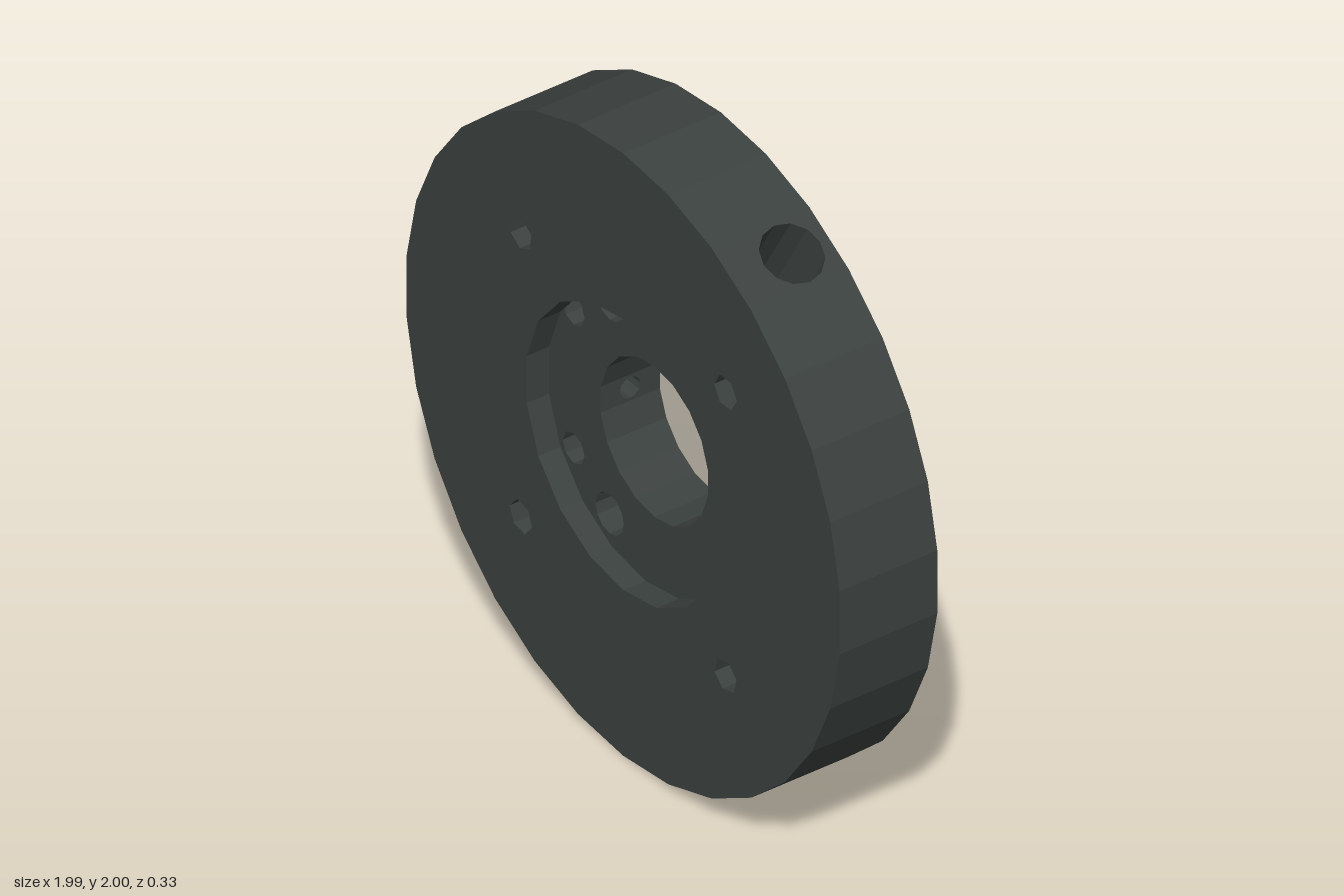
import * as THREE from 'three';
import { mergeGeometries } from 'three/addons/utils/BufferGeometryUtils.js';

const RAD = Math.PI / 180;
const BACK = -0.165, FRONT = 0.165;      // ring faces
const HUB_BACK = -0.14, HUB_FRONT = 0.06; // hub faces
const LIP = 0.09;                         // rear of the ring's front lip
const HOLE_Z = -0.04;                     // level of the radial holes

const polar = (r, deg, z = 0) => new THREE.Vector3(r * Math.cos(deg * RAD), r * Math.sin(deg * RAD), z);

// Polygon with one side facing 60 degrees, so the radial holes land on flat sides
function polygon(r, n, z = 0) {
  return Array.from({ length: n }, (_, i) => polar(r, 60 + (i - 0.5) * 360 / n, z));
}

function circle(x, y, r, n = 12, turn = 0) {
  return Array.from({ length: n }, (_, i) => polar(r, turn + i * 360 / n).add(new THREE.Vector3(x, y, 0)));
}

// Flat face with holes, facing front or back
function face(outline, holes, z, toBack = false) {
  const flat = pts => pts.map(p => new THREE.Vector2(p.x, p.y));
  const shape = new THREE.Shape(flat(outline));
  shape.holes = holes.map(h => new THREE.Path(flat(h)));
  const g = new THREE.ShapeGeometry(shape).translate(0, 0, z);
  if (toBack) {
    g.index.array.reverse();
    g.computeVertexNormals();
  }
  return g;
}

// Wall of flat panels from each point's own z up to zTop; three sides may carry a round hole
function wall(points, zTop, { inward = false, holeR = 0 } = {}) {
  const pts = inward ? [...points].reverse() : points;
  return pts.map((p, i) => {
    const q = pts[(i + 1) % pts.length];
    const u = new THREE.Vector3(q.x - p.x, q.y - p.y, 0);
    const len = u.length();
    u.normalize();
    const shape = new THREE.Shape([
      new THREE.Vector2(0, p.z), new THREE.Vector2(len, q.z),
      new THREE.Vector2(len, zTop), new THREE.Vector2(0, zTop)]);
    const angle = Math.atan2(p.y + q.y, p.x + q.x);
    if (holeR && Math.cos(3 * angle) < -0.999) {
      shape.holes.push(new THREE.Path(circle(len / 2, HOLE_Z, holeR, 12).map(c => new THREE.Vector2(c.x, c.y))));
    }
    const up = new THREE.Vector3(0, 0, 1);
    const m = new THREE.Matrix4().makeBasis(u, up, u.clone().cross(up)).setPosition(p.x, p.y, 0);
    return new THREE.ShapeGeometry(shape).applyMatrix4(m);
  });
}

// Three round passages between two radii
function radialTubes(r, from, to) {
  return [60, 180, 300].map(a =>
    new THREE.CylinderGeometry(r, r, to - from, 12, 1, true)
      .translate(0, (from + to) / 2, 0)
      .rotateZ((a - 90) * RAD)
      .translate(0, 0, HOLE_Z));
}

function triangle(a, b, c) {
  const g = new THREE.BufferGeometry().setFromPoints([a, b, c]);
  g.setAttribute('uv', new THREE.Float32BufferAttribute([0, 0, 1, 0, 0, 1], 2));
  g.setIndex([0, 1, 2]);
  g.computeVertexNormals();
  return g;
}

export function createModel() {
  const group = new THREE.Group();
  const material = new THREE.MeshStandardMaterial({ color: 0x3c4240, flatShading: true, side: THREE.DoubleSide });
  const add = (name, parts) => {
    const mesh = new THREE.Mesh(mergeGeometries(parts), material);
    mesh.name = name;
    mesh.position.y = 1;
    group.add(mesh);
  };

  // Rear pocket outline: round, with a squared recess behind each bolt hole
  const pocket = [];
  const valley = polar(0.6, 10, -0.05);
  for (let a = -10; a < 350; a += 20) {
    pocket.push(a === 10 ? valley : polar(0.6, a, BACK));
    for (const bolt of [45, 135, 225, 315]) {
      if (bolt > a && bolt < a + 20) {
        pocket.push(polar(0.74, bolt - 5.5, BACK), polar(0.74, bolt + 5.5, BACK));
      }
    }
  }
  // The tapered notch runs from the pocket out to the rim
  const apex = polar(0.985, 0, BACK);
  const rearOutline = pocket.map(p => (p === valley ? apex : p));

  const rim = polygon(1, 30, BACK);
  const opening = polygon(0.45, 18, LIP);
  const bolts = [[1, 1], [-1, 1], [-1, -1], [1, -1]].map(([x, y], i) =>
    circle(0.47 * x, 0.47 * y, 0.052, 6, i * 25));

  add('outerRing', [
    face(rim, [opening, ...bolts], FRONT),
    face(rim, [rearOutline], BACK, true),
    face(pocket, [opening, ...bolts], LIP, true),
    ...wall(rim, FRONT, { holeR: 0.095 }),
    ...wall(pocket, LIP, { inward: true, holeR: 0.095 }),
    ...wall(opening, FRONT, { inward: true }),
  ]);
  add('boltHoles', bolts.flatMap(b => wall(b.map(p => p.setZ(LIP)), FRONT, { inward: true })));
  add('accessHoles', radialTubes(0.095, 0.591, 0.994));
  add('rearNotch', [
    triangle(polar(0.6, -10, BACK), valley, apex),
    triangle(valley, polar(0.6, 30, BACK), apex),
  ]);

  // Hub disc with its bore, three large holes and four small ones
  const hubEdge = polygon(0.55, 30, HUB_BACK);
  const bore = polygon(0.25, 18, HUB_BACK);
  const hubHoles = [0, 120, 240].map(a => {
    const c = polar(0.41, a);
    return circle(c.x, c.y, 0.065, 12);
  });
  for (const x of [-0.37, 0.37]) {
    for (const y of [-0.23, 0.23]) hubHoles.push(circle(x, y, 0.05, 8));
  }
  add('hub', [
    face(hubEdge, [bore, ...hubHoles], HUB_FRONT),
    face(hubEdge, [bore, ...hubHoles], HUB_BACK, true),
    ...wall(hubEdge, HUB_FRONT, { holeR: 0.035 }),
    ...wall(bore, HUB_FRONT, { inward: true, holeR: 0.035 }),
  ]);
  add('hubHoles', hubHoles.flatMap(h => wall(h.map(p => p.setZ(HUB_BACK)), HUB_FRONT, { inward: true })));
  add('screwHoles', radialTubes(0.035, 0.246, 0.547));

  return group;
}
